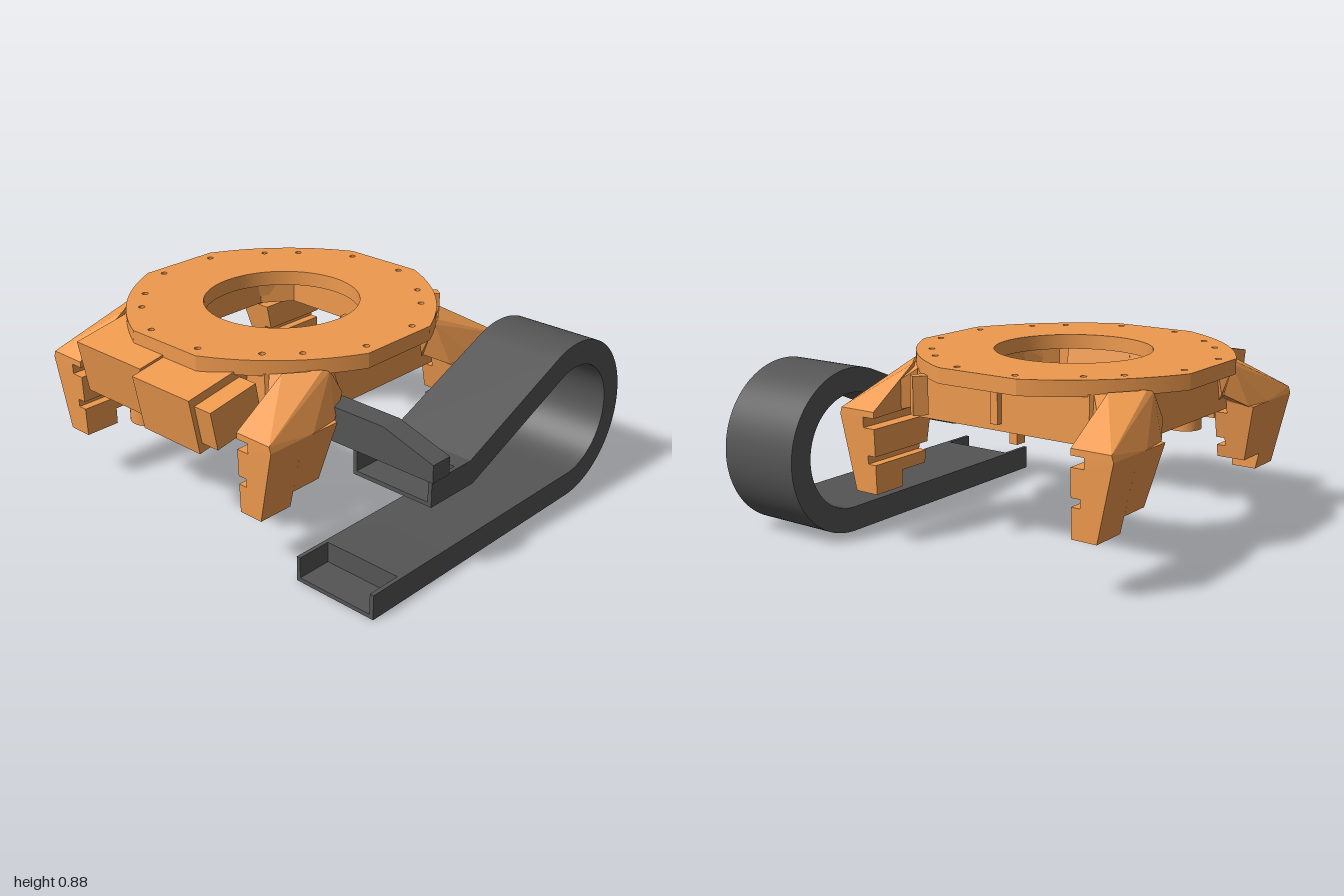
import * as THREE from 'three';
import { toCreasedNormals } from 'three/addons/utils/BufferGeometryUtils.js';
import { ConvexGeometry } from 'three/addons/geometries/ConvexGeometry.js';

const orange = new THREE.MeshStandardMaterial({ color: 0xee9a4e });
const dark = new THREE.MeshStandardMaterial({ color: 0x555555 });
const V = (x, y, z) => new THREE.Vector3(x, y, z);

function add(parent, name, geo, mat) {
  const mesh = new THREE.Mesh(geo, mat);
  mesh.name = name;
  parent.add(mesh);
  return mesh;
}

// box given by its minimum and maximum corners
function block(parent, name, mat, [x0, y0, z0], [x1, y1, z1]) {
  const m = add(parent, name, new THREE.BoxGeometry(x1 - x0, y1 - y0, z1 - z0), mat);
  m.position.set((x0 + x1) / 2, (y0 + y1) / 2, (z0 + z1) / 2);
  return m;
}

const points2 = (pts) => pts.map((p) => new THREE.Vector2(...p));
const hull = (pts) => new ConvexGeometry(pts.map((p) => V(...p)));

function extrude(shape, depth) {
  return new THREE.ExtrudeGeometry(shape, { depth, bevelEnabled: false, curveSegments: 48 });
}

// horizontal slab from a plan shape, between two heights
function slab(shape, y0, y1) {
  const g = extrude(shape, y1 - y0).rotateX(-Math.PI / 2).translate(0, y0, 0);
  return toCreasedNormals(g, 0.2);
}

// profile drawn as (z, y), swept along x from x0 to x1
function sweepX(pts, x0, x1) {
  return extrude(new THREE.Shape(points2(pts)), x1 - x0).rotateY(-Math.PI / 2).translate(x1, 0, 0);
}

// flat-shaded copy reflected into another quadrant, winding kept outward
function reflect(geo, sx, sz) {
  const g = geo.index ? geo.toNonIndexed() : geo.clone();
  const p = g.attributes.position;
  const a = V(), b = V();
  for (let i = 0; i < p.count; i++) p.setXYZ(i, p.getX(i) * sx, p.getY(i), p.getZ(i) * sz);
  if (sx * sz < 0) {
    for (let i = 0; i < p.count; i += 3) {
      a.fromBufferAttribute(p, i + 1);
      b.fromBufferAttribute(p, i + 2);
      p.setXYZ(i + 1, b.x, b.y, b.z);
      p.setXYZ(i + 2, a.x, a.y, a.z);
    }
  }
  g.computeVertexNormals();
  return g;
}

// plate with four flats joined by shallow arcs, a large opening and bolt holes
function platePlan() {
  const s = new THREE.Shape();
  const h = 0.742, c = 0.21, k = 0.57;
  s.moveTo(h, c);
  s.quadraticCurveTo(k, k, c, h);
  s.lineTo(-c, h);
  s.quadraticCurveTo(-k, k, -h, c);
  s.lineTo(-h, -c);
  s.quadraticCurveTo(-k, -k, -c, -h);
  s.lineTo(c, -h);
  s.quadraticCurveTo(k, -k, h, -c);
  s.closePath();
  s.holes.push(new THREE.Path().absarc(0, 0, 0.375, 0, Math.PI * 2, true));
  for (const [u, v] of [[0.157, 0.68], [0.405, 0.53], [0.53, 0.405], [0.68, 0.157]])
    for (const sx of [1, -1])
      for (const sy of [1, -1])
        s.holes.push(new THREE.Path().absarc(u * sx, v * sy, 0.015, 0, Math.PI * 2, true));
  return s;
}

// rectangle with cut corners
function octagon(hx, hz, cx, cz) {
  return points2([[hx, -cz], [hx, cz], [cx, hz], [-cx, hz], [-hx, cz], [-hx, -cz], [-cx, -hz], [cx, -hz]]);
}

function buildLegs(parent) {
  const upperProfile = [[0.74, 0.62], [0.6, 0.635], [0.6, 0.57], [0.535, 0.57],
    [0.535, 0.44], [0.58, 0.44], [0.58, 0.4], [0.535, 0.4]];
  const foot = sweepX([[0.535, 0.26], [0.66, 0.26], ...upperProfile], 0.625, 0.815);
  const shin = sweepX([[0.535, 0.34], [0.678, 0.34], ...upperProfile], 0.465, 0.625);
  // outer and inner edges lean slightly with height
  for (const [g, edge, foldY, lean] of [[foot, 0.815, 0.62, 0.03], [shin, 0.465, 0.34, 0.2]]) {
    const p = g.attributes.position;
    for (let i = 0; i < p.count; i++)
      if (Math.abs(p.getX(i) - edge) < 1e-3) p.setX(i, edge - Math.abs(p.getY(i) - foldY) * lean);
  }
  // sloping shoulder above the leg, and the diagonal brace that ties it to the body
  const shoulder = hull([
    [0.815, 0.62, 0.535], [0.815, 0.62, 0.74], [0.815, 0.65, 0.535], [0.815, 0.65, 0.73],
    [0.56, 0.62, 0.74], [0.405, 0.62, 0.72], [0.46, 0.63, 0.535], [0.54, 0.83, 0.535],
    [0.4, 0.83, 0.64], [0.36, 0.82, 0.65], [0.28, 0.69, 0.65],
  ]);
  const brace = hull([
    [0.625, 0.63, 0.535], [0.625, 0.77, 0.535], [0.55, 0.83, 0.47], [0.55, 0.65, 0.46],
    [0.4, 0.83, 0.64], [0.3, 0.82, 0.6], [0.28, 0.69, 0.64], [0.36, 0.63, 0.58],
  ]);
  for (const sx of [1, -1]) {
    for (const sz of [1, -1]) {
      const leg = new THREE.Group();
      leg.name = `${sz > 0 ? 'front' : 'back'}${sx > 0 ? 'Left' : 'Right'}Leg`;
      for (const [name, geo] of Object.entries({ foot, shin, shoulder, brace }))
        add(leg, name, reflect(geo, sx, sz), orange);
      parent.add(leg);
    }
  }
}

// housing tilted outward, placed by its upper outer corner
function tiltedBox(parent, name, x, y, length, height, z0, z1) {
  const t = 0.183, c = Math.cos(t), s = Math.sin(t);
  const m = add(parent, name, new THREE.BoxGeometry(length, height, z1 - z0), orange);
  m.rotation.z = t;
  m.position.set(x + (length * c + height * s) / 2, y + (length * s - height * c) / 2, (z0 + z1) / 2);
}

function buildFrame() {
  const frame = new THREE.Group();
  frame.name = 'turntableFrame';
  add(frame, 'topPlate', slab(platePlan(), 0.81, 0.882), orange);

  // hollow body under the plate
  const body = new THREE.Shape(octagon(0.58, 0.6, 0.42, 0.47));
  body.holes.push(new THREE.Path(octagon(0.54, 0.56, 0.4, 0.45)));
  add(frame, 'bodyWall', slab(body, 0.595, 0.82), orange);
  buildLegs(frame);

  // side housings and motor
  tiltedBox(frame, 'middleHousing', -0.92, 0.775, 0.42, 0.275, -0.01, 0.36);
  tiltedBox(frame, 'backHousing', -0.875, 0.795, 0.37, 0.265, -0.46, -0.01);
  tiltedBox(frame, 'frontHousing', -0.89, 0.74, 0.27, 0.19, 0.36, 0.46);
  const motor = add(frame, 'motor', new THREE.CylinderGeometry(0.087, 0.087, 0.2, 32), orange);
  motor.position.set(-0.66, 0.5, -0.24);
  block(frame, 'motorBracket', orange, [-0.62, 0.51, -0.48], [-0.52, 0.63, -0.42]);

  // small tabs on the other side
  const tab = block(frame, 'cornerTab', orange, [0.65, 0.64, 0.345], [0.72, 0.82, 0.4]);
  tab.rotation.y = -0.65;
  block(frame, 'sideRib', orange, [0.57, 0.63, -0.01], [0.61, 0.82, 0.03]);
  block(frame, 'lowerBracket', orange, [0.5, 0.54, -0.08], [0.56, 0.62, -0.04]);
  frame.position.set(-0.075, 0, -0.258);
  return frame;
}

function buildCableGuide() {
  const guide = new THREE.Group();
  guide.name = 'cableGuide';
  const z0 = 0.55, z1 = 0.987, top = (113 * Math.PI) / 180;

  // looped band
  const s = new THREE.Shape();
  s.moveTo(-0.64, 0);
  s.lineTo(0.595, 0);
  s.absarc(0.595, 0.4, 0.4, -Math.PI / 2, top, false);
  s.lineTo(-0.193, 0.5);
  s.lineTo(-0.28, 0.5);
  s.lineTo(-0.28, 0.38);
  s.lineTo(-0.17, 0.38);
  s.absarc(0.595, 0.4, 0.28, top, -Math.PI / 2, true);
  s.lineTo(-0.64, 0.12);
  s.closePath();
  add(guide, 'band', toCreasedNormals(extrude(s, z1 - z0).translate(0, 0, z0), 0.3), dark);

  // open trays at both ends
  for (const [name, x0, x1, y] of [['lowerTray', -0.815, -0.64, 0], ['upperTray', -0.455, -0.28, 0.38]]) {
    block(guide, `${name}Floor`, dark, [x0, y, z0], [x1, y + 0.02, z1]);
    block(guide, `${name}BackWall`, dark, [x0, y, z0], [x1, y + 0.12, z0 + 0.02]);
    block(guide, `${name}FrontWall`, dark, [x0, y, z1 - 0.02], [x1, y + 0.12, z1]);
  }

  // bracket joining the band to the frame
  const bracket = [[0.36, 0.5], [0.995, 0.5], [0.995, 0.585], [0.72, 0.67], [0.36, 0.67]];
  add(guide, 'bracket', sweepX(bracket, -0.46, -0.35), dark);
  return guide;
}

export function createModel() {
  const model = new THREE.Group();
  model.name = 'turntableWithCableGuide';
  model.add(buildFrame(), buildCableGuide());
  return model;
}
